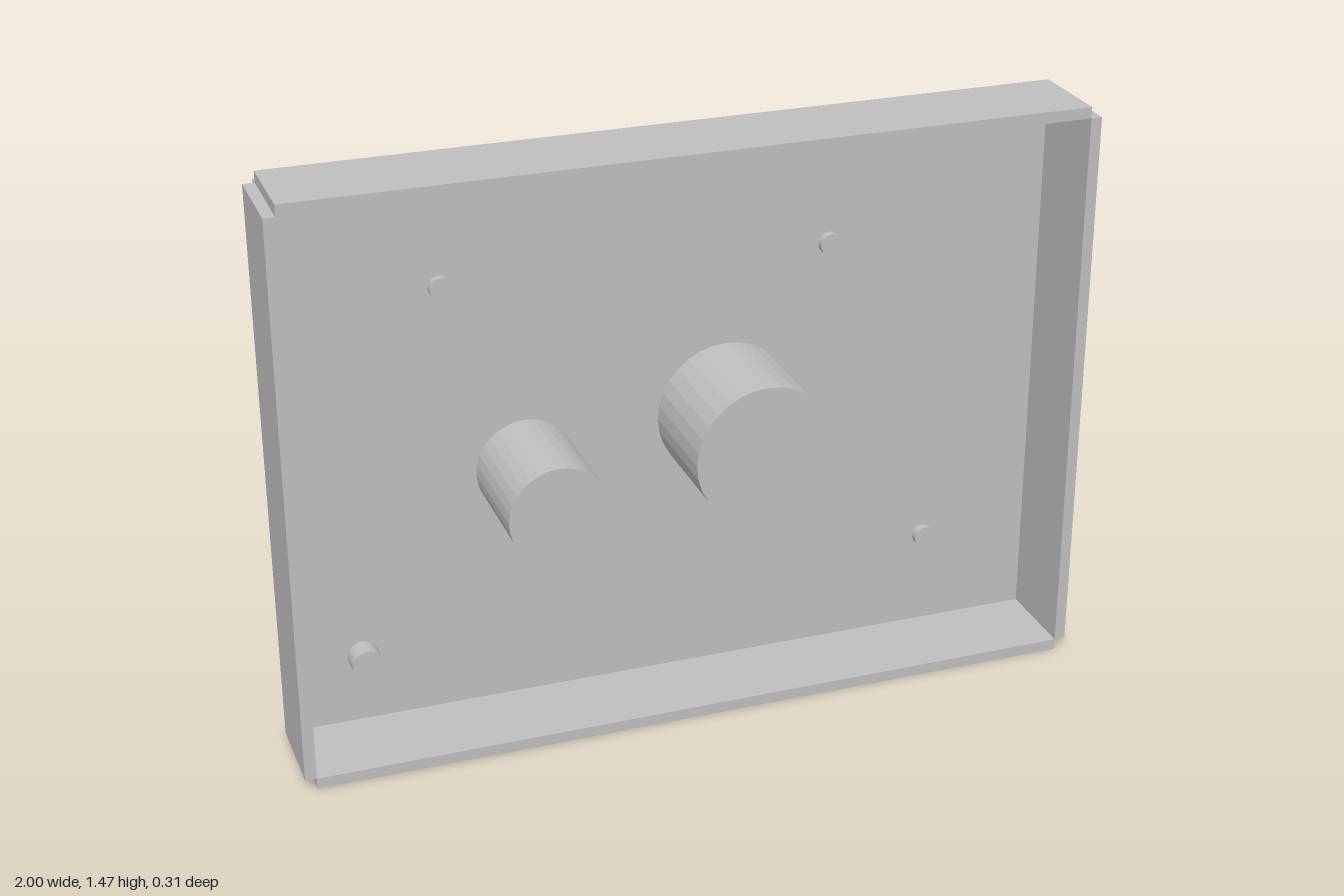
import * as THREE from 'three';

export function createModel() {
  const model = new THREE.Group();
  const grey = new THREE.MeshStandardMaterial({ color: 0xbfbfbf, flatShading: true });
  grey.name = 'plain grey';

  const add = (name, geometry, x, y, z) => {
    const mesh = new THREE.Mesh(geometry, grey);
    mesh.name = name;
    mesh.position.set(x, y, z);
    model.add(mesh);
  };

  const T = 0.028;                  // sheet thickness
  const W = 1.944, H = 1.416;       // inner opening
  const back = -0.127, front = 0.1; // depth range of the walls
  const D = front - back, midZ = (front + back) / 2, midY = T + H / 2;

  // Back panel, with walls that meet it only along its edges
  add('backPanel', new THREE.BoxGeometry(W, H, T), 0, midY, back - T / 2);
  for (const s of [-1, 1]) {
    add(s < 0 ? 'rightWall' : 'leftWall', new THREE.BoxGeometry(T, H, D), s * (W + T) / 2, midY, midZ);
    add(s < 0 ? 'bottomWall' : 'topWall', new THREE.BoxGeometry(W, T, D), 0, midY + s * (H + T) / 2, midZ);
  }

  // Round bosses standing on the panel: name, x, y, radius, height
  const bosses = [
    ['largeBoss', 0.14, 0.72, 0.176, 0.282],
    ['mediumBoss', -0.373, 0.648, 0.123, 0.282],
    ['lowerRightPin', -0.797, 0.206, 0.038, 0.053],
    ['upperRightPin', -0.567, 1.142, 0.027, 0.02],
    ['upperLeftPin', 0.404, 1.123, 0.027, 0.02],
    ['lowerLeftPin', 0.686, 0.276, 0.027, 0.02],
  ];
  for (const [name, x, y, r, h] of bosses) {
    const geometry = new THREE.CylinderGeometry(r, r, h, 32).rotateX(Math.PI / 2);
    add(name, geometry, x, y, back + h / 2);
  }
  return model;
}
